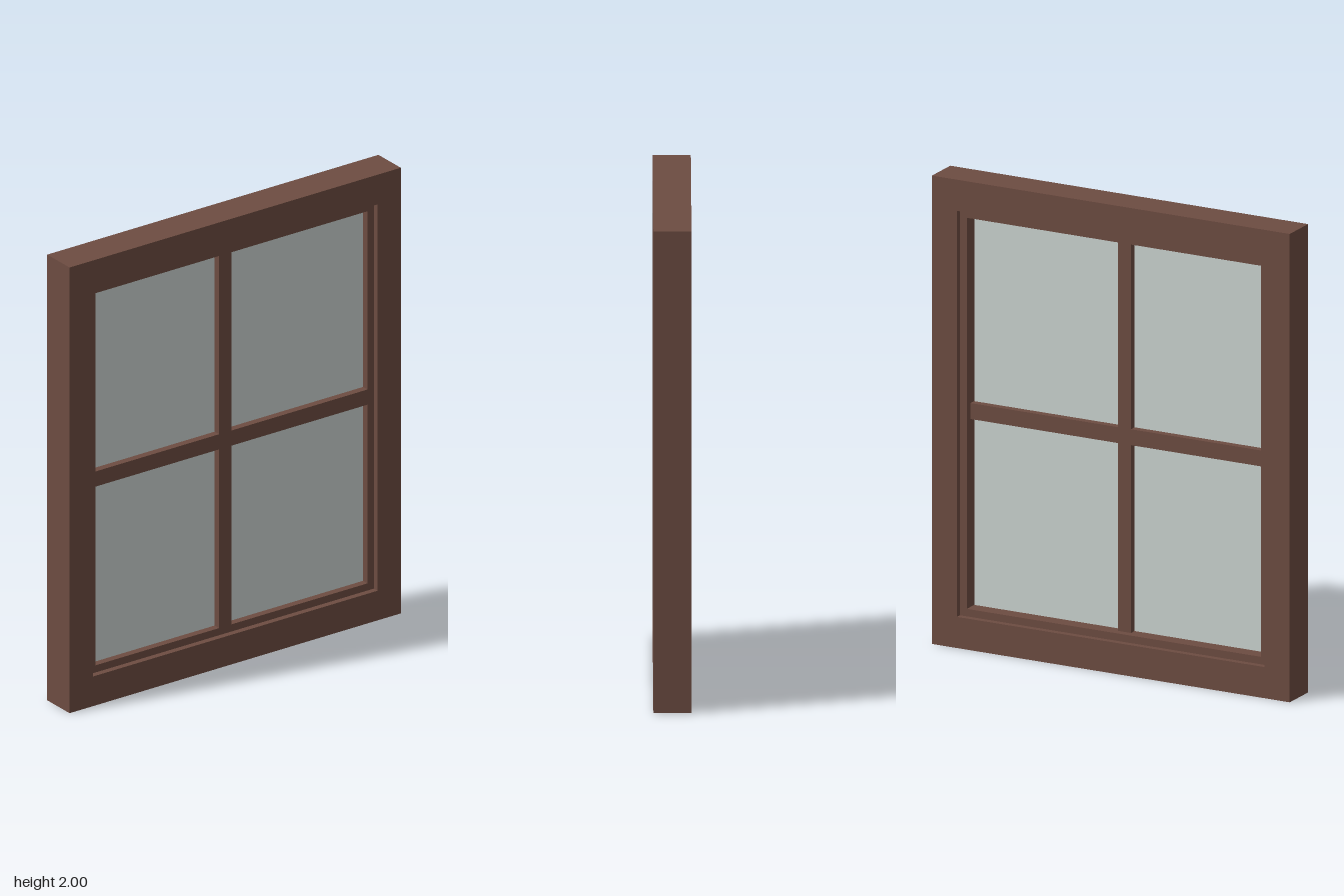
import * as THREE from 'three';

const wood = new THREE.MeshStandardMaterial({ color: 0x6d4c41 });
const glass = new THREE.MeshStandardMaterial({ color: 0xccd4d1 });

const CY = 1; // height of the window's centre

// Rectangular ring, centred on z = 0
function ring(name, outerW, outerH, innerW, innerH, depth) {
  const rect = (Type, w, h) => new Type([
    new THREE.Vector2(-w / 2, -h / 2), new THREE.Vector2(w / 2, -h / 2),
    new THREE.Vector2(w / 2, h / 2), new THREE.Vector2(-w / 2, h / 2),
  ]);
  const shape = rect(THREE.Shape, outerW, outerH);
  shape.holes.push(rect(THREE.Path, innerW, innerH));
  const geometry = new THREE.ExtrudeGeometry(shape, { depth, bevelEnabled: false });
  geometry.translate(0, 0, -depth / 2);
  const mesh = new THREE.Mesh(geometry, wood);
  mesh.name = name;
  mesh.position.y = CY;
  return mesh;
}

// Box given by its extents along each axis
function block(name, [x0, x1], [y0, y1], [z0, z1], material) {
  const mesh = new THREE.Mesh(new THREE.BoxGeometry(x1 - x0, y1 - y0, z1 - z0), material);
  mesh.name = name;
  mesh.position.set((x0 + x1) / 2, (y0 + y1) / 2, (z0 + z1) / 2);
  return mesh;
}

export function createModel() {
  const model = new THREE.Group();
  model.name = 'window';

  // Outer frame and the thinner sash set inside it
  model.add(ring('outerFrame', 1.667, 2, 1.434, 1.734, 0.156));
  model.add(ring('sash', 1.434, 1.734, 1.37, 1.67, 0.104));

  // Glazing bars: flush with the sash at the front, recessed at the back
  const barX = [-0.062, -0.001], barY = [0.967, 1.035], barZ = [-0.02, 0.052];
  const paneX = [[-0.685, barX[0]], [barX[1], 0.685]];
  const paneY = [[0.165, barY[0]], [barY[1], 1.835]];
  model.add(block('verticalBar', barX, [0.165, 1.835], barZ, wood));
  paneX.forEach((x, i) => model.add(block(`horizontalBar${i + 1}`, x, barY, barZ, wood)));

  // Four panes of glass
  for (const [i, x] of paneX.entries())
    for (const [j, y] of paneY.entries())
      model.add(block(`pane${i * 2 + j + 1}`, x, y, [0.011, 0.021], glass));

  return model;
}
